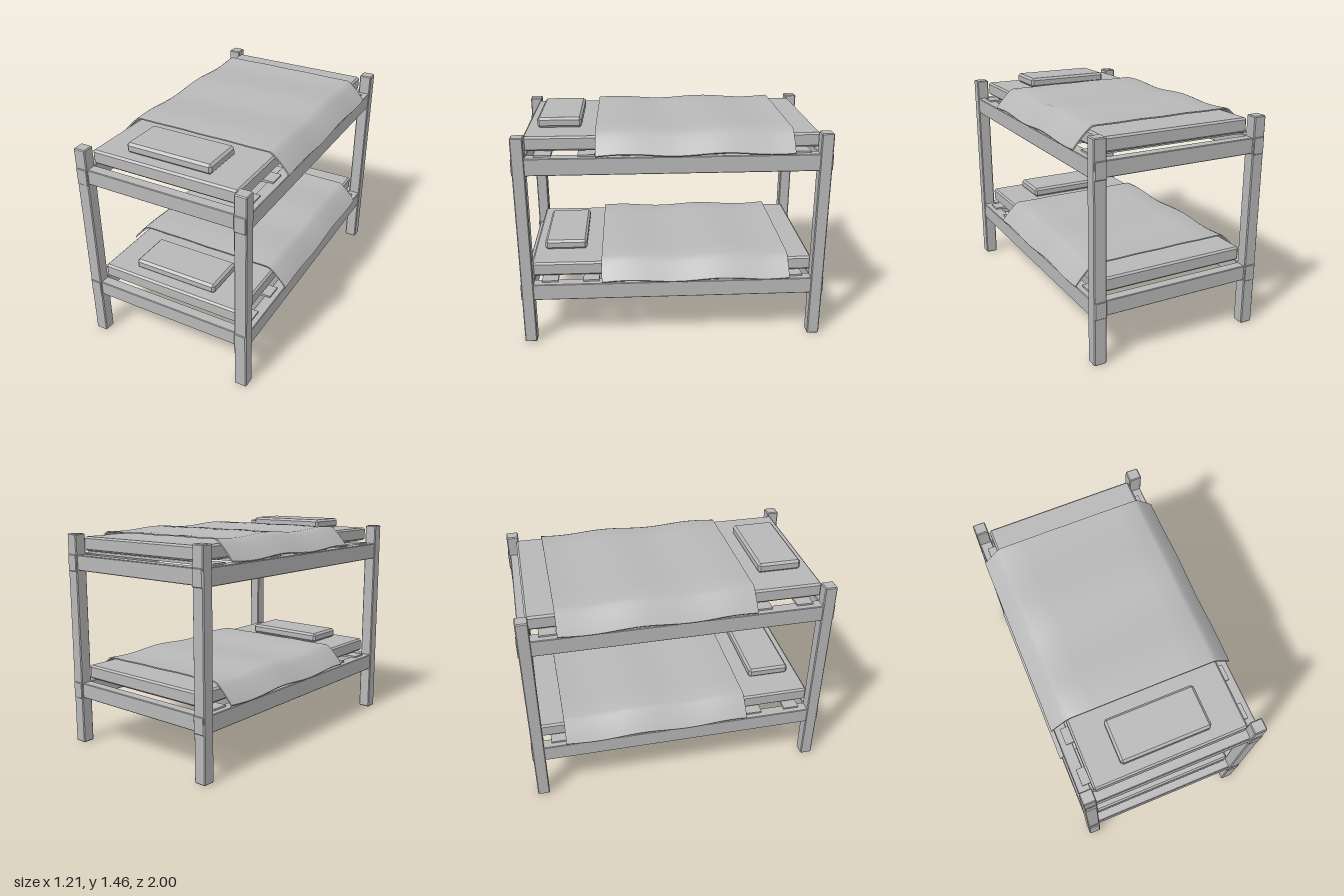
import * as THREE from 'three';
import { ConvexGeometry } from 'three/addons/geometries/ConvexGeometry.js';
import { toCreasedNormals } from 'three/addons/utils/BufferGeometryUtils.js';

const grey = new THREE.MeshStandardMaterial({ color: 0xb8b8b8 });
grey.name = 'plain grey';

// Box with chamfered edges: three hull points per corner
function chamferBox(w, h, d, c) {
  const pts = [];
  for (const sx of [-1, 1]) for (const sy of [-1, 1]) for (const sz of [-1, 1]) {
    const x = w / 2, y = h / 2, z = d / 2;
    pts.push(
      new THREE.Vector3(sx * x, sy * (y - c), sz * (z - c)),
      new THREE.Vector3(sx * (x - c), sy * y, sz * (z - c)),
      new THREE.Vector3(sx * (x - c), sy * (y - c), sz * z));
  }
  return new ConvexGeometry(pts);
}

function add(parent, name, geometry, x, y, z) {
  const mesh = new THREE.Mesh(geometry, grey);
  mesh.name = name;
  mesh.position.set(x, y, z);
  parent.add(mesh);
  return mesh;
}

// Thin sheet draped over the mattress, gently waved along its length
function blanketGeometry(zBack, zFront) {
  const half = [[0, 0.562], [0.16, 0.565], [0.32, 0.562], [0.47, 0.563], [0.492, 0.554],
    [0.515, 0.535], [0.55, 0.5], [0.58, 0.467], [0.603, 0.438]];
  const top = [...half.slice(1).reverse().map(([x, y]) => [-x, y]), ...half];
  const under = top.map(([x, y]) => [x - Math.sign(x) * 0.005, y - 0.008]).reverse();
  const shape = new THREE.Shape([...top, ...under].map(([x, y]) => new THREE.Vector2(x, y)));
  const geo = new THREE.ExtrudeGeometry(shape, { depth: zFront - zBack, steps: 32, bevelEnabled: false });
  geo.translate(0, 0, zBack);
  const p = geo.attributes.position;
  for (let i = 0; i < p.count; i++) {
    const x = p.getX(i), z = p.getZ(i);
    const wave = 0.008 * Math.cos((2 * Math.PI * (z + 0.29)) / 0.62 + x * 0.6);
    p.setY(i, p.getY(i) + wave);
  }
  return toCreasedNormals(geo, 0.7);
}

// One bunk: rails, slats, mattress, pillow and blanket
function makeBunk(name, zBack, zFront) {
  const bunk = new THREE.Group();
  bunk.name = name;
  for (const s of [-1, 1]) {
    add(bunk, 'sideRail', chamferBox(0.078, 0.11, 2, 0.004), s * 0.548, 0.365, 0);
    add(bunk, 'endRail', chamferBox(1.04, 0.1, 0.07, 0.004), 0, 0.367, s * 0.95);
  }
  const slat = new THREE.BoxGeometry(1.1, 0.016, 0.106);
  for (let i = -3; i <= 3; i++) add(bunk, 'slat', slat, 0, 0.423, i * 0.27);
  add(bunk, 'mattress', chamferBox(1.0, 0.093, 1.865, 0.012), 0, 0.488, 0);
  add(bunk, 'pillow', chamferBox(0.585, 0.066, 0.285, 0.015), -0.005, 0.567, 0.717);
  add(bunk, 'blanket', blanketGeometry(zBack, zFront), 0, 0, 0);
  return bunk;
}

export function createModel() {
  const bed = new THREE.Group();
  bed.name = 'bunkBed';

  // Corner posts
  const post = chamferBox(0.083, 1.41, 0.08, 0.006);
  for (const x of [-0.55, 0.55]) for (const z of [-0.955, 0.955]) add(bed, 'post', post, x, 0.705, z);

  // Two stacked bunks
  const lower = makeBunk('lowerBunk', -0.768, 0.47);
  const upper = makeBunk('upperBunk', -0.757, 0.483);
  upper.position.y = 0.858;
  bed.add(lower, upper);
  return bed;
}
